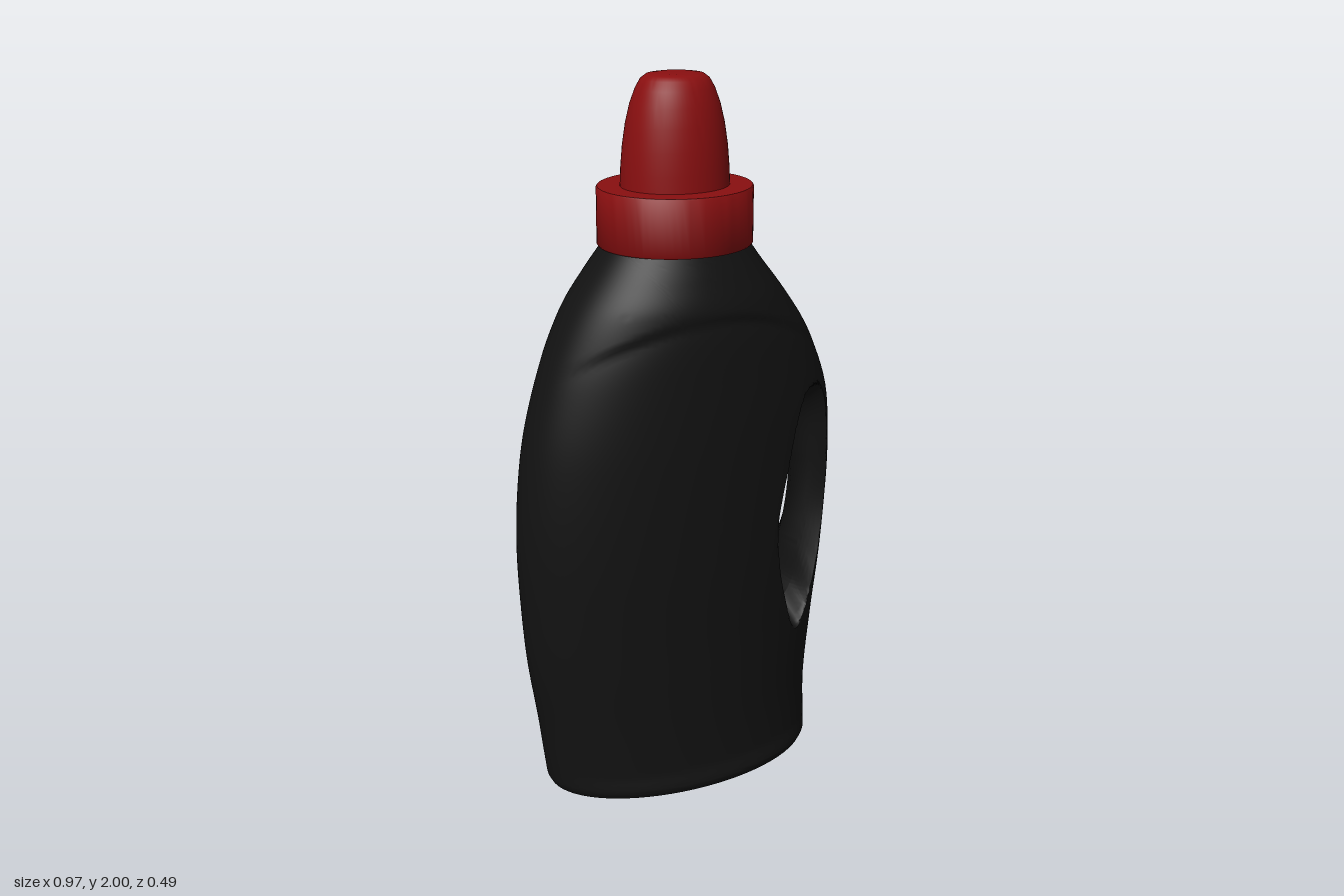
import * as THREE from 'three';
import { toCreasedNormals } from 'three/addons/utils/BufferGeometryUtils.js';

// Smooth value through [position, value] pairs
function curve(pairs) {
  const n = pairs.length;
  const slope = (i) => {
    const a = pairs[Math.max(i - 1, 0)], b = pairs[Math.min(i + 1, n - 1)];
    return (b[1] - a[1]) / (b[0] - a[0]);
  };
  return (p) => {
    p = THREE.MathUtils.clamp(p, pairs[0][0], pairs[n - 1][0]);
    let i = 0;
    while (i < n - 2 && p > pairs[i + 1][0]) i++;
    const w = pairs[i + 1][0] - pairs[i][0], t = (p - pairs[i][0]) / w;
    const t2 = t * t, t3 = t2 * t;
    return (2 * t3 - 3 * t2 + 1) * pairs[i][1] + (t3 - 2 * t2 + t) * w * slope(i)
      + (3 * t2 - 2 * t3) * pairs[i + 1][1] + (t3 - t2) * w * slope(i + 1);
  };
}

// Bottle side outlines and half depth, by height
const TOP = 1.56;
const leftX = curve([[0, -0.4], [0.02, -0.41], [0.2, -0.435], [0.4, -0.465], [0.6, -0.48], [0.75, -0.484],
  [0.9, -0.476], [1.05, -0.455], [1.2, -0.415], [1.3, -0.377], [1.4, -0.325], [1.5, -0.252], [TOP, -0.205]]);
const rightX = curve([[0, 0.413], [0.02, 0.422], [0.2, 0.42], [0.4, 0.44], [0.6, 0.465], [0.8, 0.48],
  [0.9, 0.483], [1, 0.48], [1.1, 0.468], [1.2, 0.435], [1.3, 0.385], [1.4, 0.315], [1.5, 0.237], [TOP, 0.195]]);
const depth = curve([[0, 0.228], [0.02, 0.235], [0.07, 0.226], [0.4, 0.231], [0.7, 0.241], [1, 0.245],
  [1.2, 0.24], [1.4, 0.226], [1.48, 0.2], [TOP, 0.163]]);

// Grip hole and the height of its rim, by direction from its centre
const CENTRE = new THREE.Vector2(0.315, 0.76);
const hole = new THREE.CatmullRomCurve3([[0.31, 0.445], [0.35, 0.49], [0.378, 0.6], [0.402, 0.73], [0.41, 0.87],
  [0.395, 1.02], [0.34, 1.08], [0.275, 1.0], [0.236, 0.86], [0.222, 0.7], [0.25, 0.53]]
  .map(([x, y]) => new THREE.Vector3(x, y, 0)), true).getPoints(240);

function holePoint(dir) {
  for (let i = 0; i < hole.length - 1; i++) {
    const ax = hole[i].x - CENTRE.x, ay = hole[i].y - CENTRE.y;
    const bx = hole[i + 1].x - CENTRE.x, by = hole[i + 1].y - CENTRE.y;
    const ca = dir.x * ay - dir.y * ax, cb = dir.x * by - dir.y * bx;
    if (ca <= 0 && cb > 0) {
      const s = ca / (ca - cb);
      return new THREE.Vector2(CENTRE.x + ax + (bx - ax) * s, CENTRE.y + ay + (by - ay) * s);
    }
  }
  return CENTRE.clone();
}

// Half depth of the bottle at (x, y), d away from the hole edge
function skin(x, y, d, edge) {
  const l = leftX(y), r = rightX(y);
  const u = (2 * x - l - r) / (r - l);
  const round = Math.sqrt(Math.max(0, 1 - u * u));
  let z = depth(y) * (round < 1e-4 ? 0 : round);
  // shoulder groove
  const below = 1.395 - 0.9 * x * x - y;
  if (below > 0) z -= 0.013 * round * THREE.MathUtils.smoothstep(below, 0, 0.025) * Math.exp(-below / 0.06);
  // scooped grip: full depth on the body side, thin on the handle side
  const side = THREE.MathUtils.smoothstep(CENTRE.x - edge.x, 0.0, 0.075);
  const handle = THREE.MathUtils.smoothstep(edge.x - CENTRE.x, 0.02, 0.07);
  const rim = 0.06 + 0.125 * side - 0.01 * handle;
  const rise = 2 - 0.9 * handle;
  return Math.min(z, rim + rise * d);
}

function bottleGeometry() {
  // outline, counter-clockwise from the lower right
  const outline = [];
  const ease = (t) => (1 - Math.cos(Math.PI * t)) / 2;
  const SIDE = 80, END = 36;
  for (let i = 0; i < SIDE; i++) { const y = TOP * ease(i / SIDE); outline.push([rightX(y), y]); }
  for (let i = 0; i < END; i++) outline.push([THREE.MathUtils.lerp(rightX(TOP), leftX(TOP), ease(i / END)), TOP]);
  for (let i = 0; i < SIDE; i++) { const y = TOP * ease(1 - i / SIDE); outline.push([leftX(y), y]); }
  for (let i = 0; i < END; i++) outline.push([THREE.MathUtils.lerp(leftX(0), rightX(0), ease(i / END)), 0]);

  // one closed section per outline point: front skin outwards, back skin inwards
  const STEPS = 64;
  const sections = outline.map(([x, y]) => {
    const out = new THREE.Vector2(x, y);
    const edge = holePoint(out.clone().sub(CENTRE).normalize());
    const length = edge.distanceTo(out);
    const front = [];
    for (let j = 0; j <= STEPS; j++) {
      const t = ease(j / STEPS), p = edge.clone().lerp(out, t);
      front.push(new THREE.Vector3(p.x, p.y, skin(p.x, p.y, t * length, edge)));
    }
    const back = front.map((p) => new THREE.Vector3(p.x, p.y, -p.z)).reverse();
    return [...front, ...back];
  });

  const positions = [];
  const tri = new THREE.Triangle();
  const face = (a, b, c) => {
    if (tri.set(a, b, c).getArea() > 1e-10) for (const p of [a, b, c]) positions.push(p.x, p.y, p.z);
  };
  sections.forEach((s, i) => {
    const next = sections[(i + 1) % sections.length];
    for (let k = 0; k < s.length; k++) {
      const m = (k + 1) % s.length;
      face(s[k], s[m], next[m]);
      face(s[k], next[m], next[k]);
    }
  });
  const geometry = new THREE.BufferGeometry();
  geometry.setAttribute('position', new THREE.Float32BufferAttribute(positions, 3));
  return toCreasedNormals(geometry, 0.8);
}

// Lathed part, slightly oval
function lathe(name, profile, zScale, material) {
  const points = profile.map(([r, y]) => new THREE.Vector2(r, y));
  const geometry = new THREE.LatheGeometry(points, 64);
  geometry.scale(1, 1, zScale);
  geometry.translate(-0.004, 0, 0);
  const mesh = new THREE.Mesh(toCreasedNormals(geometry, 0.7), material);
  mesh.name = name;
  return mesh;
}

export function createModel() {
  const group = new THREE.Group();
  group.name = 'detergentBottle';
  const black = new THREE.MeshStandardMaterial({ color: 0x121212 });
  const red = new THREE.MeshStandardMaterial({ color: 0x8a0f10 });

  const bottle = new THREE.Mesh(bottleGeometry(), black);
  bottle.name = 'bottleBody';
  group.add(bottle);

  // cap collar
  group.add(lathe('capCollar', [[0, 1.548], [0.21, 1.548], [0.213, 1.552], [0.213, 1.701], [0.21, 1.705], [0, 1.705]], 0.945, red));

  // domed cap top
  group.add(lathe('capDome', [[0.15, 1.7], [0.148, 1.75], [0.143, 1.81], [0.134, 1.87], [0.122, 1.92],
    [0.107, 1.96], [0.093, 1.984], [0.078, 1.995], [0.05, 1.999], [0, 2]], 0.905, red));

  return group;
}
